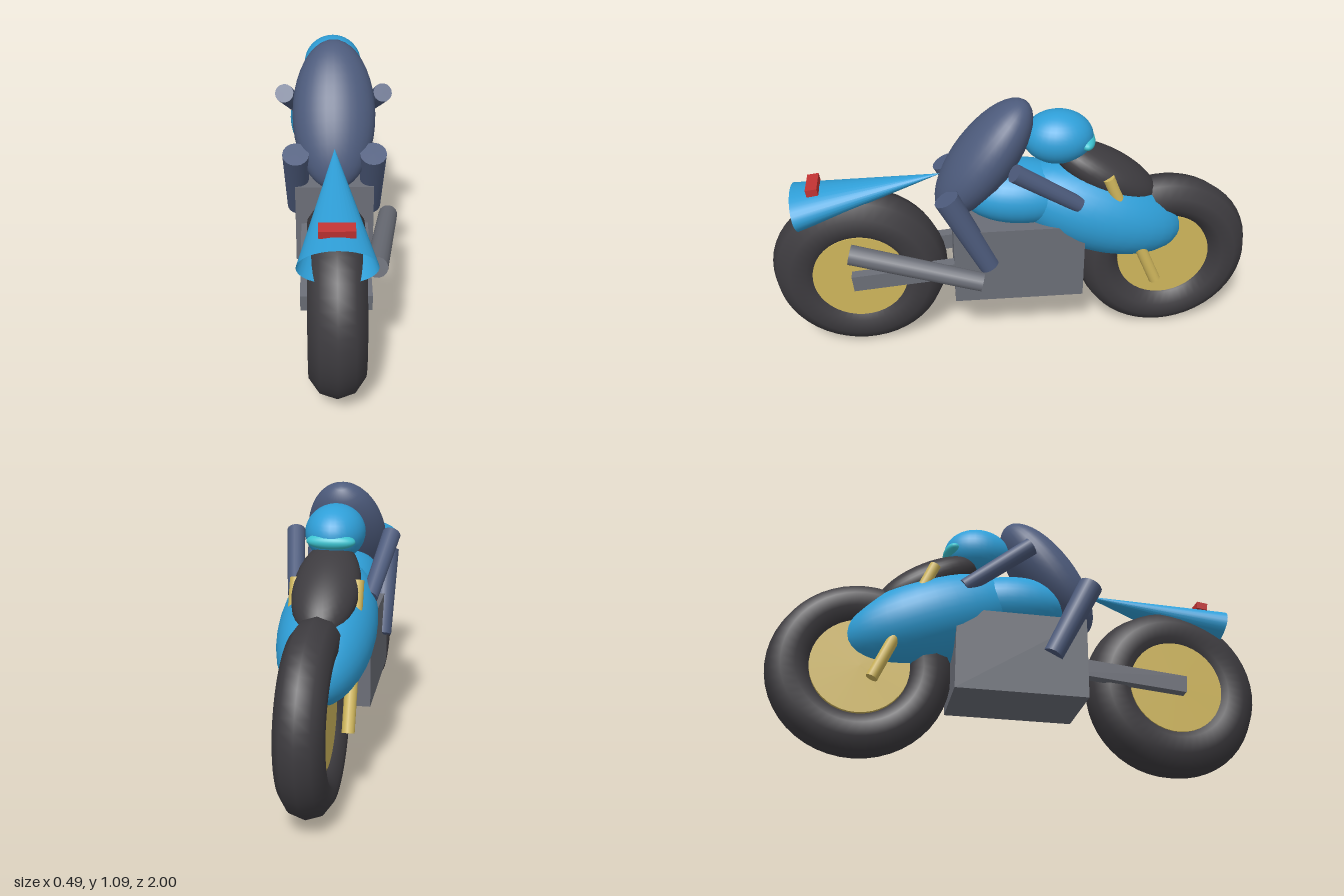
import * as THREE from 'three';

const paint = (name, color, side = THREE.FrontSide) => {
  const m = new THREE.MeshStandardMaterial({ color, side });
  m.name = name;
  return m;
};

export function createModel() {
  const blue = paint('blue bodywork', 0x2f9fd8, THREE.DoubleSide);
  const navy = paint('navy suit', 0x4d5b7c);
  const black = paint('black rubber', 0x3d3b3f);
  const gold = paint('gold metal', 0xcfb65c);
  const grey = paint('grey metal', 0x6b6e77);
  const red = paint('red lamp', 0xc23333);
  const teal = paint('teal visor', 0x3cc3d0);

  const model = new THREE.Group();
  model.name = 'motorcycleWithRider';
  // everything hangs on the bike's centre line; the exhaust sticks out on one side
  const bike = new THREE.Group();
  bike.name = 'bike';
  bike.position.x = -0.0145;
  model.add(bike);

  const add = (name, geometry, material, x = 0, y = 0, z = 0, tilt = 0) => {
    const mesh = new THREE.Mesh(geometry, material);
    mesh.name = name;
    mesh.position.set(x, y, z);
    mesh.rotation.x = tilt;
    bike.add(mesh);
    return mesh;
  };
  const ellipsoid = (name, material, y, z, rx, ry, rz, tilt = 0) =>
    add(name, new THREE.SphereGeometry(1, 32, 20).scale(rx, ry, rz), material, 0, y, z, tilt);

  // round rod from point a to point b
  const rod = (name, material, a, b, ra, rb = ra) => {
    const p = new THREE.Vector3(...a), q = new THREE.Vector3(...b);
    const d = q.clone().sub(p);
    const mesh = add(name, new THREE.CylinderGeometry(rb, ra, d.length(), 16), material);
    mesh.position.copy(p).add(q).multiplyScalar(0.5);
    mesh.quaternion.setFromUnitVectors(new THREE.Vector3(0, 1, 0), d.normalize());
    return mesh;
  };

  // wheels
  const wheel = (name, z, tube, rimWidth) => {
    add(name + 'Tyre', new THREE.TorusGeometry(0.361 - tube, tube, 10, 48).rotateY(Math.PI / 2),
      black, 0, 0.361, z);
    add(name + 'Rim', new THREE.CylinderGeometry(0.194, 0.194, rimWidth, 40).rotateZ(Math.PI / 2),
      gold, 0, 0.361, z);
  };
  wheel('rear', 0.637, 0.108, 0.178);
  wheel('front', -0.637, 0.089, 0.1);

  // engine and exhaust
  add('engine', new THREE.BoxGeometry(0.307, 0.338, 0.53), grey, 0, 0.426, -0.015);
  rod('exhaust', grey, [0.143, 0.515, 0.665], [0.219, 0.398, 0.14], 0.041, 0.038);

  // bodywork
  ellipsoid('fairing', blue, 0.595, -0.348, 0.184, 0.186, 0.382, -0.366);
  ellipsoid('tank', blue, 0.69, -0.03, 0.15, 0.13, 0.25, -0.05);
  ellipsoid('windscreen', black, 0.76, -0.38, 0.125, 0.09, 0.24, -0.52);

  // hollow tail cone, its point towards the rider
  const cone = new THREE.ConeGeometry(1, 0.595, 32, 1, true).rotateX(-Math.PI / 2).scale(0.138, 0.081, 1);
  add('tail', cone, blue, 0, 0.7245, 0.5775, 0.208);
  add('tailLamp', new THREE.BoxGeometry(0.125, 0.03, 0.046), red, 0, 0.76, 0.793, 0.14);

  // rider
  ellipsoid('torso', navy, 0.846, 0.118, 0.16, 0.293, 0.12, -0.63);
  ellipsoid('helmet', blue, 0.93, -0.18, 0.115, 0.107, 0.14);
  ellipsoid('visor', teal, 0.917, -0.286, 0.093, 0.031, 0.04);

  // paired parts
  for (const [side, s] of [['left', 1], ['right', -1]]) {
    add(side + 'Swingarm', new THREE.BoxGeometry(0.045, 0.07, 0.54), grey, s * 0.109, 0.381, 0.397, 0.09);
    rod(side + 'Fork', gold, [s * 0.115, 0.285, -0.592], [s * 0.115, 0.795, -0.368], 0.024);
    rod(side + 'Arm', navy, [s * 0.194, 0.885, 0.012], [s * 0.143, 0.697, -0.25], 0.037, 0.032);
    rod(side + 'Leg', navy, [s * 0.147, 0.755, 0.272], [s * 0.147, 0.428, 0.108], 0.051, 0.042);
  }
  return model;
}
